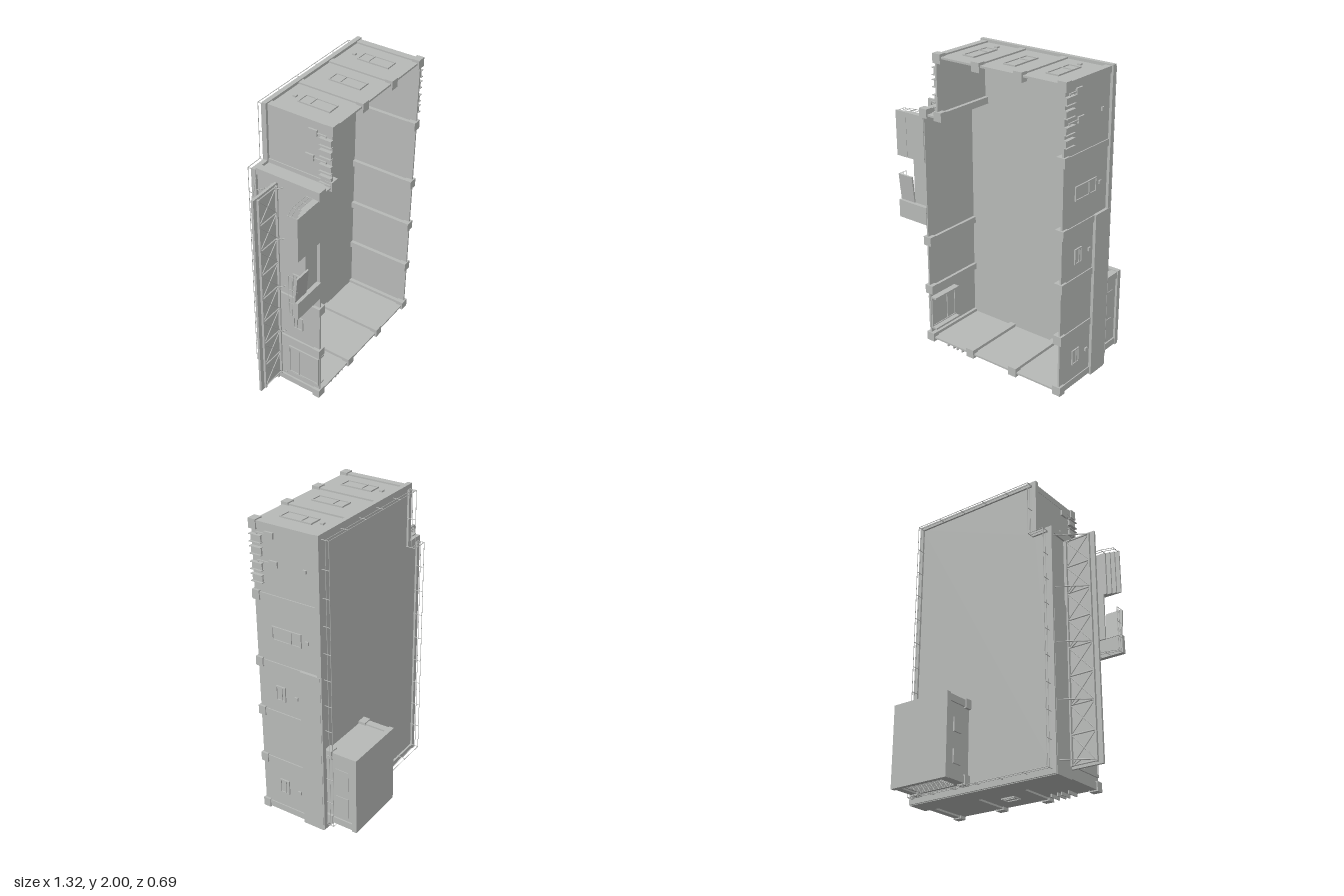
import * as THREE from 'three';

export function createModel() {
  const model = new THREE.Group();
  model.name = 'industrialBuilding';
  const grey = new THREE.MeshStandardMaterial({ color: 0xb8bab8 });
  grey.name = 'concreteGrey';

  const add = (name, geo, parent = model) => {
    const m = new THREE.Mesh(geo, grey);
    m.name = name;
    parent.add(m);
    return m;
  };
  const group = (name) => {
    const g = new THREE.Group();
    g.name = name;
    model.add(g);
    return g;
  };
  // box from its limits
  const box = (name, x0, x1, y0, y1, z0, z1, parent) => {
    const g = new THREE.BoxGeometry(x1 - x0, y1 - y0, z1 - z0);
    g.translate((x0 + x1) / 2, (y0 + y1) / 2, (z0 + z1) / 2);
    return add(name, g, parent);
  };
  // thin rod between two points
  const rod = (name, a, b, r, parent) => {
    const p = new THREE.Vector3(...a), q = new THREE.Vector3(...b);
    const m = add(name, new THREE.CylinderGeometry(r, r, p.distanceTo(q), 6), parent);
    m.position.copy(p).add(q).multiplyScalar(0.5);
    m.quaternion.setFromUnitVectors(new THREE.Vector3(0, 1, 0), q.sub(p).normalize());
    return m;
  };
  // stepped footprint grown outward by d
  const outline = (d) => [
    [-0.43 - d, 0.025 - d], [0.635 + d, 0.025 - d], [0.635 + d, 1.98 + d],
    [-0.315 - d, 1.98 + d], [-0.315 - d, 1.6 + d], [-0.43 - d, 1.6 + d],
  ];
  const points = (d) => outline(d).map(([x, y]) => new THREE.Vector2(x, y));
  const slab = (name, outer, inner, z0, z1) => {
    const s = new THREE.Shape(points(outer));
    if (inner !== null) s.holes.push(new THREE.Path(points(inner)));
    const g = new THREE.ExtrudeGeometry(s, { depth: z1 - z0, bevelEnabled: false });
    g.translate(0, 0, z0);
    return add(name, g);
  };

  // shell, open at the base
  slab('walls', 0, -0.012, -0.115, 0.335);
  slab('roof', 0, null, -0.122, -0.112);
  slab('parapet', 0.018, -0.012, -0.135, -0.105);

  // deep frieze round the lower wing
  const frieze = group('frieze');
  box('friezeLeft', 0.635, 0.655, 0.005, 1.11, -0.125, 0.02, frieze);
  box('friezeRight', -0.45, -0.43, 0.005, 1.11, -0.125, 0.02, frieze);
  box('friezeBottom', -0.45, 0.655, 0.003, 0.025, -0.125, 0.02, frieze);

  // pilasters with wide feet
  const pilasters = group('pilasters');
  const spots = [];
  for (const x of [-0.295, 0.005, 0.315, 0.62]) spots.push([x, 1.968]);
  for (const x of [-0.42, -0.075, 0.275, 0.62]) spots.push([x, 0.035]);
  for (const y of [0.39, 0.74, 1.085, 1.53]) spots.push([0.62, y]);
  for (const y of [0.39, 0.74, 1.605]) spots.push([-0.42, y]);
  spots.push([-0.3, 1.605]);
  for (const [x, y] of spots) {
    box('pilaster', x - 0.022, x + 0.022, y - 0.022, y + 0.022, -0.11, 0.3, pilasters);
    box('pilasterFoot', x - 0.03, x + 0.03, y - 0.03, y + 0.03, 0.295, 0.345, pilasters);
  }

  // window frames: t runs along the wall, z is across it
  const windows = group('windows');
  const windowOn = (axis, wall, t, w, z0, z1) => {
    const piece = (name, a, b, c, d, h) => axis === 'y'
      ? box(name, a, b, wall - h, wall + h, c, d, windows)
      : box(name, wall - h, wall + h, a, b, c, d, windows);
    const f = 0.007, l = t - w / 2, r = t + w / 2, bar = z0 + (z1 - z0) * 0.33;
    piece('windowPane', l, r, z0, z1, 0.002);
    piece('frameSide', l, l + f, z0, z1, 0.008);
    piece('frameSide', r - f, r, z0, z1, 0.008);
    for (const z of [z0, bar, z1 - f]) piece('frameBar', l, r, z, z + f, 0.008);
  };
  for (const x of [-0.145, 0.162, 0.468]) windowOn('y', 1.981, x, 0.088, 0.01, 0.23);
  windowOn('x', 0.636, 1.305, 0.09, 0.01, 0.22);
  for (const y of [0.9, 0.21]) windowOn('x', 0.636, y, 0.1, 0.14, 0.21);
  for (const y of [0.9, 0.56]) windowOn('x', -0.431, y, 0.1, 0.14, 0.21);
  for (const wall of [-0.431, -0.417]) windowOn('x', wall, 0.215, 0.22, 0.1, 0.33);
  windowOn('y', 0.024, 0.1, 0.1, 0.14, 0.21);

  // small wall lamps
  const lamps = group('wallLamps');
  for (const x of [-0.145, 0.468]) box('lamp', x - 0.012, x + 0.012, 1.98, 1.99, -0.047, -0.025, lamps);
  for (const [y, z] of [[1.755, -0.03], [1.305, -0.03], [0.9, 0.06], [0.205, 0.06]])
    box('lamp', 0.63, 0.645, y - 0.011, y + 0.011, z - 0.011, z + 0.011, lamps);

  // wall vents and their ducts, on both sides of the tall wing
  const vents = group('vents');
  for (const [wall, s] of [[0.635, 1], [-0.315, -1]]) {
    const side = (n, a, b, y0, y1, z0, z1) =>
      box(n, Math.min(wall + s * a, wall + s * b), Math.max(wall + s * a, wall + s * b), y0, y1, z0, z1, vents);
    for (const y of [1.64, 1.715, 1.81, 1.885]) {
      side('ventBox', 0, 0.012, y - 0.022, y + 0.022, 0.265, 0.335);
      for (const e of [-0.025, 0.02]) side('ventFin', 0, 0.024, y + e, y + e + 0.005, 0.26, 0.34);
    }
    for (const [y, z] of [[1.92, 0.21], [1.75, 0.187]]) {
      side('ductBox', 0, 0.012, y - 0.019, y + 0.019, z - 0.03, z + 0.028);
      side('duct', 0, 0.008, y - 0.005, y + 0.003, z + 0.028, 0.3);
      side('duct', 0, 0.008, y - 0.035, y + 0.003, 0.292, 0.3);
    }
  }
  for (const x of [-0.28, -0.23, -0.2, -0.155])
    box('bottomFin', x - 0.004, x + 0.004, 0.004, 0.03, 0.24, 0.33, vents);

  // railing round the roof
  const railing = group('roofRailing');
  const ring = outline(-0.012);
  ring.forEach(([x0, y0], i) => {
    const [x1, y1] = ring[(i + 1) % ring.length];
    for (const z of [-0.184, -0.16]) rod('rail', [x0, y0, z], [x1, y1, z], 0.002, railing);
    const n = Math.max(1, Math.round(Math.hypot(x1 - x0, y1 - y0) / 0.18));
    for (let k = 0; k < n; k++) {
      const x = x0 + (x1 - x0) * k / n, y = y0 + (y1 - y0) * k / n;
      rod('railPost', [x, y, -0.12], [x, y, -0.184], 0.0025, railing);
    }
  });

  // plant room on the roof
  const room = group('roofRoom');
  box('roomBody', 0.2, 0.6, 0.065, 0.575, -0.33, -0.115, room);
  box('roomCap', 0.185, 0.615, 0.05, 0.59, -0.347, -0.315, room);
  for (const x of [0.19, 0.565]) for (const y of [0.055, 0.54]) {
    box('roomCorner', x, x + 0.045, y, y + 0.045, -0.32, -0.12, room);
    box('roomFoot', x - 0.008, x + 0.053, y - 0.008, y + 0.053, -0.17, -0.12, room);
  }
  for (let i = 0; i < 8; i++) box('louvre', 0.27, 0.53, 0.053, 0.066, -0.3 + i * 0.018, -0.293 + i * 0.018, room);
  for (const y of [0.2, 0.4]) {
    box('roomWindow', 0.19, 0.201, y - 0.045, y + 0.045, -0.27, -0.2, room);
    box('roomLouvre', 0.599, 0.604, y - 0.07, y + 0.07, -0.28, -0.19, room);
  }

  // side canopy: plate, edge beams, cross-braced truss, tie rods
  const canopy = group('canopy');
  box('canopyPlate', -0.66, -0.425, 0.065, 1.58, 0.024, 0.04, canopy);
  for (const x of [-0.625, -0.455]) {
    box('trussChord', x - 0.005, x + 0.005, 0.08, 1.57, 0.04, 0.056, canopy);
    box('trussChord', x - 0.005, x + 0.005, 0.08, 1.57, 0.008, 0.024, canopy);
  }
  const bays = 8, pitch = 1.48 / bays;
  for (const z of [0.047, 0.016]) for (let i = 0; i <= bays; i++) {
    const y = 0.085 + i * pitch;
    rod('trussTie', [-0.625, y, z], [-0.455, y, z], 0.005, canopy);
    if (i === bays) break;
    rod('trussBrace', [-0.625, y, z], [-0.455, y + pitch, z], 0.003, canopy);
    rod('trussBrace', [-0.455, y, z], [-0.625, y + pitch, z], 0.003, canopy);
  }
  for (const y of [0.09, 0.455, 0.825, 1.195, 1.56]) {
    rod('tieRod', [-0.625, y, 0.005], [-0.435, y, -0.115], 0.004, canopy);
    rod('strut', [-0.555, y, -0.04], [-0.47, y, 0.02], 0.003, canopy);
    rod('knee', [-0.475, y, 0.05], [-0.435, y, 0.085], 0.004, canopy);
  }

  // landing with steps at one end and a ramp at the other
  const porch = group('porch');
  box('landing', -0.545, -0.425, 0.97, 1.58, 0.3, 0.312, porch);
  box('stairLanding', -0.57, -0.425, 1.28, 1.58, 0.3, 0.34, porch);
  for (let i = 0; i < 3; i++)
    box('step', -0.6 - i * 0.028, -0.57 - i * 0.028, 1.28, 1.58, 0.312 + i * 0.01, 0.342, porch);
  box('lowerLanding', -0.66, -0.425, 0.85, 0.97, 0.31, 0.34, porch);
  const ramp = box('ramp', -0.0575, 0.0575, -0.09, 0.09, -0.006, 0.006, porch);
  ramp.position.set(-0.602, 1.06, 0.322);
  ramp.rotation.x = 0.1;

  // porch handrails
  for (const y of [0.855, 1.575]) for (const d of [0, 0.024]) {
    rod('handrail', [-0.655, y, 0.272 + d], [-0.57, y, 0.247 + d], 0.002, porch);
    rod('handrail', [-0.57, y, 0.247 + d], [-0.44, y, 0.247 + d], 0.002, porch);
  }
  for (const y of [0.855, 1.575]) for (const x of [-0.65, -0.57, -0.505, -0.445])
    rod('handrailPost', [x, y, 0.335], [x, y, x < -0.6 ? 0.272 : 0.247], 0.002, porch);
  for (const z of [0.272, 0.296]) rod('rampRail', [-0.655, 0.855, z], [-0.655, 1.15, z], 0.002, porch);
  for (const y of [0.95, 1.05, 1.15]) rod('rampPost', [-0.655, y, 0.335], [-0.655, y, 0.272], 0.002, porch);

  // door canopy brackets on the right wall
  for (const y of [0.1, 0.325]) box('doorBracket', -0.44, -0.375, y - 0.006, y + 0.006, 0.1, 0.33);

  return model;
}
